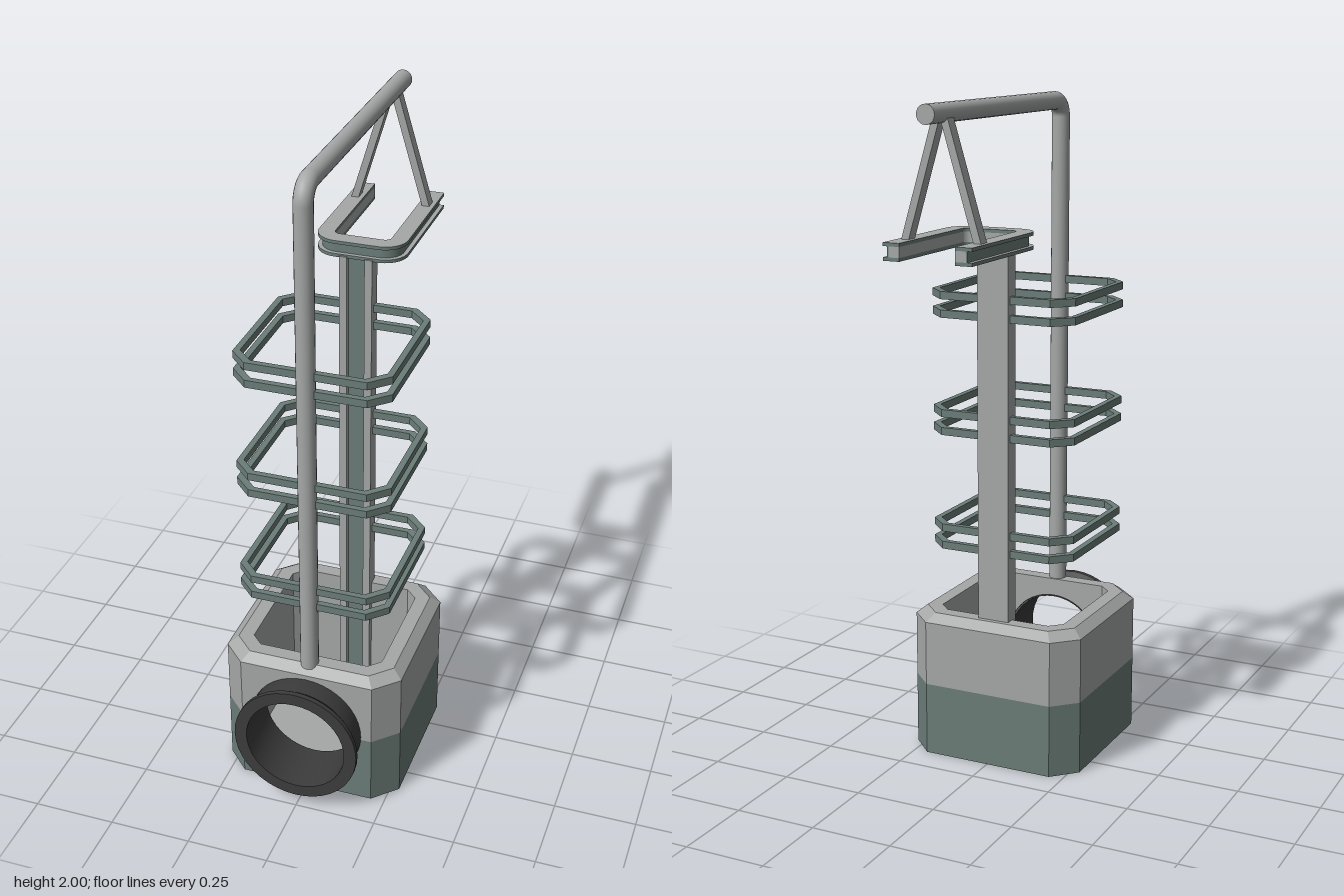
import * as THREE from 'three';
import { toCreasedNormals } from 'three/addons/utils/BufferGeometryUtils.js';

export function createModel() {
  const model = new THREE.Group();
  const mat = (name, color) => new THREE.MeshStandardMaterial({ name, color, side: THREE.DoubleSide });
  const grey = mat('light grey', 0xa6a8a8);
  const green = mat('grey green', 0x6b7d78);
  const dark = mat('charcoal', 0x3c3c3c);

  const add = (name, geo, material, x = 0, y = 0, z = 0) => {
    const mesh = new THREE.Mesh(geo, material);
    mesh.name = name;
    mesh.position.set(x, y, z);
    model.add(mesh);
    return mesh;
  };
  // Extrude a plan shape (x, -z) upwards
  const extrudeUp = (shape, height) =>
    new THREE.ExtrudeGeometry(shape, { depth: height, bevelEnabled: false, curveSegments: 8 }).rotateX(-Math.PI / 2);

  // Octagon in plan: h = half width, c = corner cut; side 0 faces the front
  const octagon = (h, c) => [
    [-h + c, h], [h - c, h], [h, h - c], [h, -h + c],
    [h - c, -h], [-h + c, -h], [-h, -h + c], [-h, h - c],
  ];
  // Band of flat quads through octagons [half, cut, y]
  const band = (rings, skipFront = false) => {
    const pos = [];
    for (let k = 0; k + 1 < rings.length; k++) {
      const [h0, c0, y0] = rings[k], [h1, c1, y1] = rings[k + 1];
      const lo = octagon(h0, c0), hi = octagon(h1, c1);
      for (let i = skipFront ? 1 : 0; i < 8; i++) {
        const j = (i + 1) % 8;
        const a = [lo[i][0], y0, lo[i][1]], b = [lo[j][0], y0, lo[j][1]];
        const c = [hi[j][0], y1, hi[j][1]], d = [hi[i][0], y1, hi[i][1]];
        pos.push(...a, ...b, ...c, ...a, ...c, ...d);
      }
    }
    const geo = new THREE.BufferGeometry();
    geo.setAttribute('position', new THREE.Float32BufferAttribute(pos, 3));
    geo.computeVertexNormals();
    return geo;
  };
  const octShape = (h, c) => new THREE.Shape(octagon(h, c).map(([x, z]) => new THREE.Vector2(x, -z)));

  // Hollow octagonal base
  const H = 0.2775, C = 0.07, IN = 0.205, IC = 0.035, ZC = 0.1225, MID = 0.225;
  add('baseSkirt', band([[0.235, 0.055, 0.035], [0.235, 0.055, 0], [H, C, 0], [H, C, 0.05]]), green, 0, 0, ZC);
  add('baseLowerWalls', band([[H, C, 0.05], [H, C, MID]], true), green, 0, 0, ZC);
  add('baseUpperWalls', band([[H, C, MID], [H, C, 0.425]], true), grey, 0, 0, ZC);
  add('baseRim', band([[H, C, 0.425], [0.248, 0.06, 0.45], [IN, IC, 0.45], [IN, IC, 0.425]]), grey, 0, 0, ZC);
  add('baseInnerWalls', band([[IN, IC, 0.425], [IN, IC, 0.04]], true), grey, 0, 0, ZC);
  add('baseFloor', extrudeUp(octShape(0.235, 0.055), 0.015), grey, 0, 0.035, ZC);

  // Front wall in two colours around the round port
  const PY = 0.235, PR = 0.16, W = H - C;
  const s = Math.asin((PY - MID) / PR);
  const frontWall = (name, yEdge, a0, a1, clockwise, material) => {
    const shape = new THREE.Shape();
    shape.moveTo(-W, MID);
    shape.lineTo(-W, yEdge);
    shape.lineTo(W, yEdge);
    shape.lineTo(W, MID);
    shape.absarc(0, PY, PR, a0, a1, clockwise);
    add(name, new THREE.ExtrudeGeometry(shape, { depth: 0.0725, bevelEnabled: false, curveSegments: 24 }),
      material, 0, 0, 0.3275);
  };
  frontWall('frontWallLower', 0.05, -s, -Math.PI + s, true, green);
  frontWall('frontWallUpper', 0.425, -s, Math.PI + s, false, grey);

  // Flanged port
  const portProfile = [
    [0.155, 0.33], [0.175, 0.395], [0.175, 0.463], [0.193, 0.485], [0.193, 0.5], [0.155, 0.5], [0.155, 0.33],
  ].map(([r, z]) => new THREE.Vector2(r, z));
  portProfile[0].x = 0.159;
  const port = new THREE.LatheGeometry(portProfile, 40).rotateX(Math.PI / 2);
  add('port', toCreasedNormals(port, 0.5), dark, 0, PY, 0);

  // Three pairs of octagonal hoops
  for (const y of [0.66, 0.715, 1.015, 1.07, 1.37, 1.425]) {
    const hoop = octShape(0.2325, 0.055);
    hoop.holes.push(octShape(0.214, 0.048));
    add('hoop', extrudeUp(hoop, 0.023), green, 0, y - 0.0115, 0.135);
  }

  // Grooved mast
  const mast = new THREE.Shape([
    [-0.05, 0.06], [-0.027, 0.06], [-0.027, 0.082], [0.027, 0.082],
    [0.027, 0.06], [0.05, 0.06], [0.05, 0.11], [-0.05, 0.11],
  ].map(([x, d]) => new THREE.Vector2(x, d)));
  add('mast', extrudeUp(mast, 1.54), grey, 0, 0.045, 0);
  add('mastGroove', new THREE.BoxGeometry(0.053, 1.53, 0.006), green, 0, 0.815, -0.079);

  // U-shaped rail: a, b = insets of its outer and inner edges
  const uShape = (a, b) => {
    const R = 0.07 - a, r = 0.07 - b, X = 0.065, D = 0.135, P = Math.PI;
    const u = new THREE.Shape();
    u.moveTo(-X - R, 0.5);
    u.lineTo(-X - R, D);
    u.absarc(-X, D, R, P, 1.5 * P, false);
    u.absarc(X, D, R, 1.5 * P, 2 * P, false);
    u.lineTo(X + R, 0.5);
    u.lineTo(X + r, 0.5);
    u.absarc(X, D, r, 2 * P, 1.5 * P, true);
    u.absarc(-X, D, r, 1.5 * P, P, true);
    u.lineTo(-X - r, 0.5);
    return u;
  };
  add('railLowerLip', extrudeUp(uShape(0, 0.05), 0.01), [grey, green], 0, 1.58, 0);
  add('railUpperLip', extrudeUp(uShape(0, 0.05), 0.01), [grey, green], 0, 1.62, 0);
  add('railCore', extrudeUp(uShape(0.018, 0.05), 0.03), grey, 0, 1.59, 0);
  add('railGroove', extrudeUp(uShape(0.013, 0.018), 0.03), green, 0, 1.59, 0);

  // Bent overhead pipe
  const TR = 0.0275, BEND = 0.05, TZ = 0.36, TY = 1.9725;
  const upright = TY - BEND - 0.44, reach = TZ - BEND + 0.5;
  add('pipeUpright', new THREE.CylinderGeometry(TR, TR, upright, 20), grey, 0, 0.44 + upright / 2, TZ);
  add('pipeBend', new THREE.TorusGeometry(BEND, TR, 20, 10, Math.PI / 2).rotateY(-Math.PI / 2),
    grey, 0, TY - BEND, TZ - BEND);
  add('pipeArm', new THREE.CylinderGeometry(TR, TR, reach, 20).rotateX(Math.PI / 2), grey, 0, TY, -0.5 + reach / 2);

  // Slanted struts between pipe and rail
  for (const side of [-1, 1]) {
    const dx = 0.1, dy = 0.335;
    const strut = add('strut', new THREE.BoxGeometry(0.022, Math.hypot(dx, dy), 0.036),
      grey, side * (0.012 + dx / 2), 1.625 + dy / 2, -0.403);
    strut.rotation.z = side * Math.atan2(dx, dy);
  }
  return model;
}
